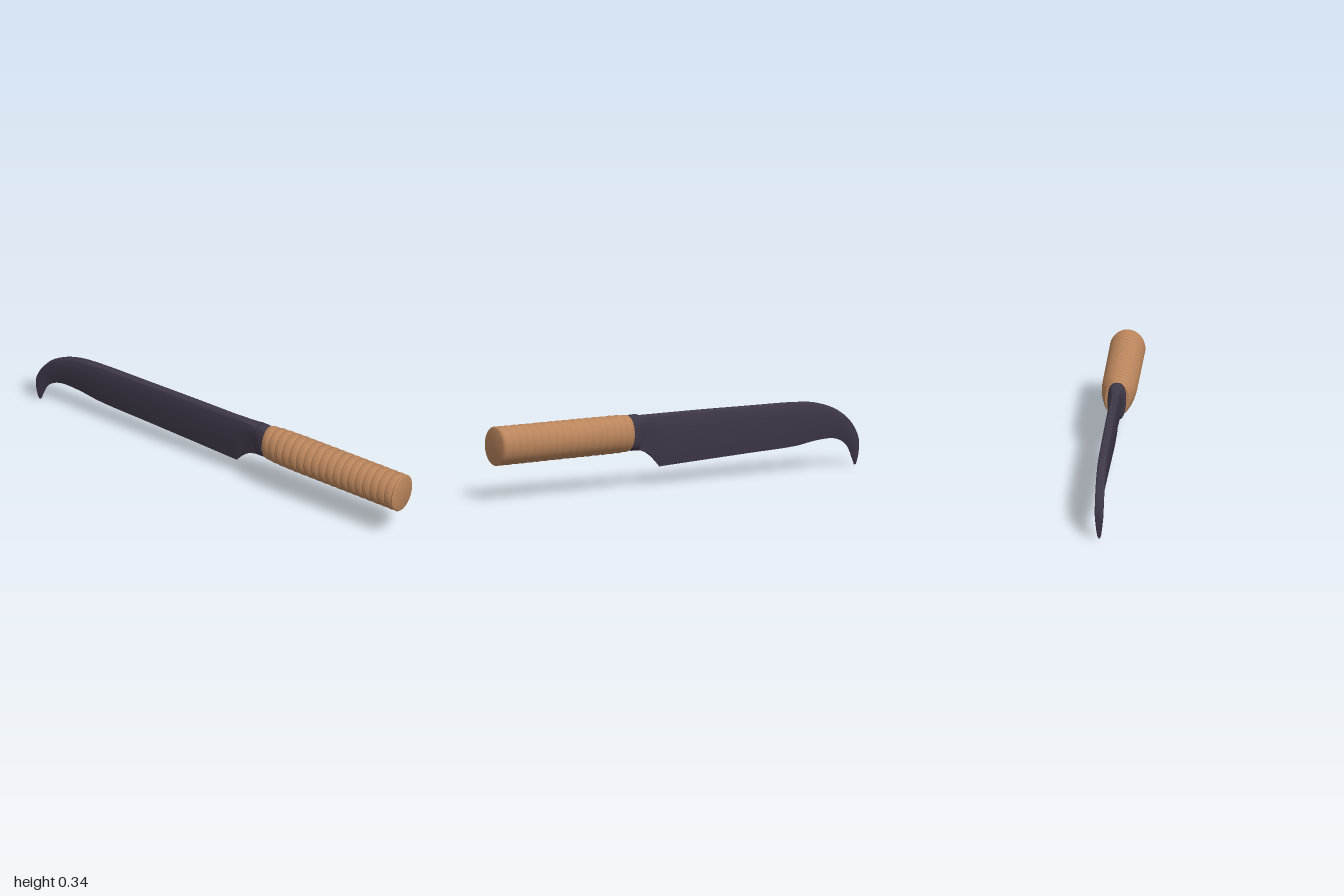
import * as THREE from 'three';
import { toCreasedNormals } from 'three/addons/utils/BufferGeometryUtils.js';

// Skin a list of closed rings (ordered towards +x, each running top, +z, bottom, -z) and cap both ends
function loft(rings, crease) {
  const n = rings[0].length, pos = [], idx = [];
  rings.forEach(r => r.forEach(p => pos.push(...p)));
  for (let i = 0; i < rings.length - 1; i++) {
    for (let j = 0; j < n; j++) {
      const a = i * n + j, c = i * n + (j + 1) % n;
      idx.push(a, c, a + n, c, c + n, a + n);
    }
  }
  [0, rings.length - 1].forEach(i => {
    const centre = pos.length / 3;
    for (let k = 0; k < 3; k++) pos.push(rings[i].reduce((s, p) => s + p[k], 0) / n);
    for (let j = 0; j < n; j++) {
      const a = i * n + j, c = i * n + (j + 1) % n;
      if (i) idx.push(centre, a, c); else idx.push(centre, c, a);
    }
  });
  const g = new THREE.BufferGeometry();
  g.setAttribute('position', new THREE.Float32BufferAttribute(pos, 3));
  g.setIndex(idx);
  return toCreasedNormals(g, crease);
}

// Oval ring across the x axis; power below 1 squares it off
function oval(x, cy, ry, rz, power = 1, n = 48) {
  const bend = v => Math.sign(v) * Math.abs(v) ** power;
  return Array.from({ length: n }, (_, j) => {
    const a = j / n * Math.PI * 2;
    return [x, cy + ry * bend(Math.cos(a)), rz * bend(Math.sin(a))];
  });
}

// Piecewise linear lookup in [x, value] pairs
function lookup(table, x) {
  for (let i = 1; i < table.length; i++) {
    const [x0, v0] = table[i - 1], [x1, v1] = table[i];
    if (x <= x1) return THREE.MathUtils.lerp(v0, v1, Math.max(0, (x - x0) / (x1 - x0)));
  }
  return table[table.length - 1][1];
}

function bladeGeometry() {
  // Matching spine and edge points, hooked tip to heel corner
  const spine = [[-0.988, 0], [-0.998, 0.06], [-0.997, 0.115], [-0.975, 0.17], [-0.93, 0.225], [-0.86, 0.27],
    [-0.77, 0.3], [-0.66, 0.311], [-0.4, 0.316], [-0.15, 0.32], [0.09, 0.322]];
  const edge = [[-0.98, 0], [-0.966, 0.035], [-0.953, 0.068], [-0.935, 0.095], [-0.905, 0.117], [-0.86, 0.13],
    [-0.77, 0.127], [-0.66, 0.111], [-0.4, 0.1], [-0.15, 0.09], [0.09, 0.08]];
  const curve = pts => new THREE.CatmullRomCurve3(pts.map(p => new THREE.Vector3(p[0], p[1], 0)));
  const top = curve(spine).getPoints(50), bottom = curve(edge).getPoints(50);
  // Scooped heel between the corner and the collar
  [[0.11, 0.104], [0.135, 0.13], [0.16, 0.149], [0.19, 0.162], [0.225, 0.167]].forEach(([x, y]) => {
    top.push(new THREE.Vector3(x, 0.322, 0));
    bottom.push(new THREE.Vector3(x, y, 0));
  });
  // Half thickness from rounded spine to sharp edge
  const section = [[0, 0.011], [0.02, 0.017], [0.06, 0.02], [0.3, 0.02], [0.5, 0.0175], [0.75, 0.011], [1, 0.001]];
  const rings = top.map((s, i) => {
    const tip = Math.min(1, 0.12 + Math.sqrt(i / 14));
    const flare = lookup([[0.08, 1], [0.16, 1.15], [0.22, 1.5]], s.x);
    const blunt = lookup([[0.09, 0], [0.19, 0.014]], s.x);
    const side = sign => section.map(([t, w]) => [
      THREE.MathUtils.lerp(s.x, bottom[i].x, t),
      THREE.MathUtils.lerp(s.y, bottom[i].y, t),
      sign * Math.max(w * tip * flare, blunt)]);
    return [...side(1), ...side(-1).reverse()];
  });
  return loft(rings, 0.6);
}

function handleGeometry() {
  const start = 0.262, end = 0.997, wraps = 18, steps = 8, rings = [];
  const width = [[start, 0.06], [0.3, 0.068], [0.36, 0.076], [0.45, 0.08], [1, 0.081]];
  const height = [[start, 0.083], [0.32, 0.087], [1, 0.09]];
  // Bulging cord wraps with narrow grooves between them
  for (let i = 0; i <= wraps * steps; i++) {
    const x = start + (end - 0.012 - start) * i / (wraps * steps);
    const dip = 0.0045 * (1 - Math.sqrt(Math.abs(Math.sin(i / steps * Math.PI))));
    rings.push(oval(x, 0.247, lookup(height, x) - dip, lookup(width, x) - dip));
  }
  // Rounded rim of the butt
  [[0.006, 0], [0.002, 0.003], [0, 0.008]].forEach(([back, inset]) =>
    rings.push(oval(end - back, 0.247, 0.09 - inset, 0.081 - inset)));
  return loft(rings, 0.7);
}

export function createModel() {
  const steel = new THREE.MeshStandardMaterial({ color: 0x3f3848 });
  steel.name = 'dark steel';
  const cord = new THREE.MeshStandardMaterial({ color: 0xba855c });
  cord.name = 'tan wrap';

  const group = new THREE.Group();
  group.name = 'knife';
  const add = (name, geometry, material) => {
    const mesh = new THREE.Mesh(geometry, material);
    mesh.name = name;
    group.add(mesh);
  };

  add('blade', bladeGeometry(), steel);
  // Collar with softened rims
  add('collar', loft([[0.208, 0.074, 0.032], [0.213, 0.081, 0.038], [0.218, 0.083, 0.04], [0.25, 0.082, 0.041],
    [0.256, 0.08, 0.041], [0.268, 0.078, 0.041]].map(([x, ry, rz]) => oval(x, 0.247, ry, rz, 0.75)), 0.6), steel);
  add('handle', handleGeometry(), cord);
  return group;
}
